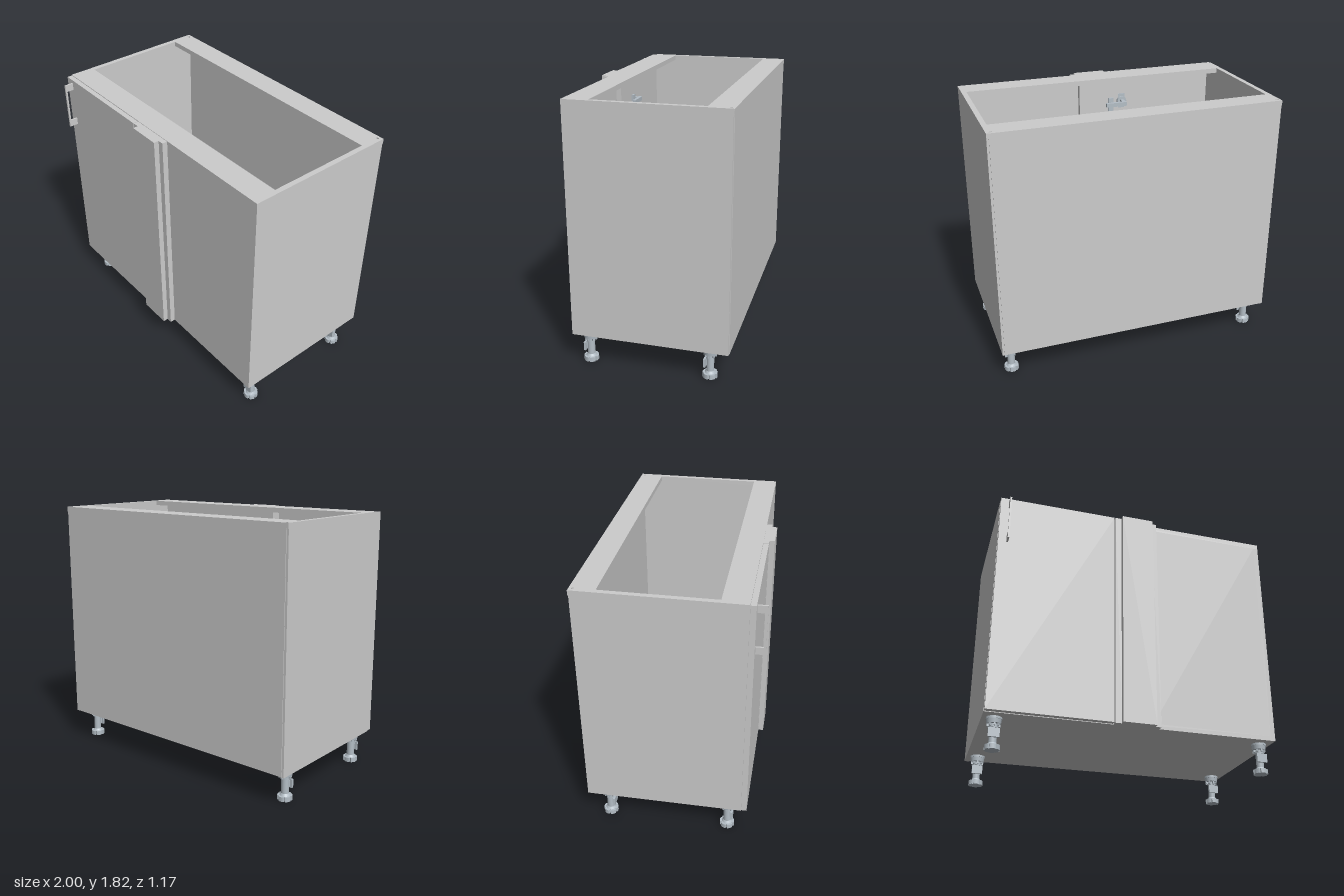
import * as THREE from 'three';

const grey = new THREE.MeshStandardMaterial({ color: 0xcccccc });
const legGrey = new THREE.MeshStandardMaterial({ color: 0xb4bec6 });

// Box given by its limits on each axis
function box(parent, name, [x0, x1], [y0, y1], [z0, z1], mat = grey) {
  const m = new THREE.Mesh(new THREE.BoxGeometry(x1 - x0, y1 - y0, z1 - z0), mat);
  m.position.set((x0 + x1) / 2, (y0 + y1) / 2, (z0 + z1) / 2);
  m.name = name;
  parent.add(m);
  return m;
}

function cylinder(parent, name, rTop, rBottom, y0, y1, sides = 24, mat = legGrey) {
  const m = new THREE.Mesh(new THREE.CylinderGeometry(rTop, rBottom, y1 - y0, sides), mat);
  m.position.y = (y0 + y1) / 2;
  m.name = name;
  parent.add(m);
  return m;
}

// Extrudes a plan drawn in x and z upwards from y0 to y1
function plate(parent, name, shape, y0, y1, mat = grey) {
  const g = new THREE.ExtrudeGeometry(shape, { depth: y1 - y0, bevelEnabled: false, curveSegments: 10 });
  g.rotateX(-Math.PI / 2);
  const m = new THREE.Mesh(g, mat);
  m.position.y = y0;
  m.name = name;
  parent.add(m);
  return m;
}

const polygon = (pts) => new THREE.Shape(pts.map(([x, z]) => new THREE.Vector2(x, -z)));

// Adjustable foot with slotted base, threaded column and plinth clip
function makeLeg(name) {
  const leg = new THREE.Group();
  leg.name = name;
  const slotted = [];
  for (let i = 0; i < 48; i++) {
    const r = i % 8 === 0 ? 0.038 : 0.05;
    const a = (i / 48) * Math.PI * 2;
    slotted.push([Math.cos(a) * r, Math.sin(a) * r]);
  }
  plate(leg, 'footBase', polygon(slotted), 0, 0.032, legGrey);
  cylinder(leg, 'footNeck', 0.024, 0.036, 0.032, 0.05);
  cylinder(leg, 'column', 0.026, 0.026, 0.04, 0.18);
  cylinder(leg, 'collar', 0.031, 0.031, 0.145, 0.165);
  cylinder(leg, 'mountingSocket', 0.05, 0.046, 0.172, 0.205);
  cylinder(leg, 'mountingFlange', 0.052, 0.052, 0.2, 0.216);
  for (let i = 0; i < 4; i++) {
    const rib = box(leg, 'rib', [-0.005, 0.005], [0.155, 0.2], [-0.044, 0.044], legGrey);
    rib.rotation.y = (i * Math.PI) / 4;
  }
  box(leg, 'clipPlate', [-0.037, 0.037], [0.078, 0.138], [0.026, 0.04], legGrey);
  box(leg, 'clipBody', [-0.02, 0.02], [0.085, 0.13], [0, 0.03], legGrey);
  return leg;
}

// Concealed hinge joining the door to the stile
function makeHinge(y) {
  const hinge = new THREE.Group();
  hinge.name = 'hinge';
  box(hinge, 'cupPlate', [-0.265, -0.215], [-0.055, 0.055], [0.482, 0.49], legGrey);
  const cup = cylinder(hinge, 'cup', 0.036, 0.036, -0.012, 0.012);
  cup.rotation.x = Math.PI / 2;
  cup.position.set(-0.24, 0, 0.478);
  box(hinge, 'arm', [-0.25, -0.09], [-0.015, 0.015], [0.385, 0.41], legGrey);
  box(hinge, 'link', [-0.25, -0.225], [-0.013, 0.013], [0.39, 0.475], legGrey);
  box(hinge, 'mountingPlate', [-0.15, -0.11], [-0.05, 0.05], [0.405, 0.42], legGrey);
  hinge.position.y = y;
  return hinge;
}

export function createModel() {
  const model = new THREE.Group();
  model.name = 'cornerBaseCabinet';
  const bottom = 0.215, top = 1.815, t = 0.035, front = 0.49, back = -0.585;

  // Carcass
  for (const s of [-1, 1]) {
    const xs = s < 0 ? [-1, -1 + t] : [1 - t, 1];
    box(model, 'sidePanel', xs, [bottom, top - t], [back + 0.005, front]);
  }
  box(model, 'bottomPanel', [-1 + t, 1 - t], [bottom, bottom + t], [-0.555, front]);
  box(model, 'backPanel', [-0.985, 0.985], [bottom + 0.005, top - 0.005], [back, -0.568]);

  // Top frame with large opening and two small slots
  const frame = polygon([[-1, front], [1, front], [1, back], [-1, back]]);
  frame.holes.push(new THREE.Path(polygon([[-0.965, 0.32], [-0.965, -0.42], [0.965, -0.42], [0.965, 0.32]]).getPoints()));
  for (const s of [-1, 1]) {
    const slot = new THREE.Path();
    slot.absellipse(s * 0.97, 0.56, 0.012, 0.007, 0, Math.PI * 2, true);
    frame.holes.push(slot);
  }
  plate(model, 'topFrame', frame, top - t, top);

  // Fixed front with the stile carrying the hinges
  box(model, 'fixedFrontPanel', [0.115, 1 - t], [bottom + t, top - t], [front - t, front]);
  box(model, 'stile', [-0.16, 0.115], [bottom + t, top - t], [front - 2 * t, front]);

  // Stepped corner filler
  plate(model, 'cornerFiller', polygon([
    [-0.16, front], [-0.16, 0.527], [-0.115, 0.527], [-0.115, 0.563],
    [0.115, 0.563], [0.115, 0.527], [0.155, 0.527], [0.155, front],
  ]), bottom, top - 0.003);

  // Door with bar handle
  box(model, 'door', [-0.998, -0.166], [0.219, 1.811], [front + 0.001, 0.527]);
  const handle = new THREE.Group();
  handle.name = 'handle';
  const hx = [-0.942, -0.93];
  box(handle, 'handleBar', hx, [1.45, 1.785], [0.577, 0.59]);
  box(handle, 'handleLowerPost', hx, [1.45, 1.5], [0.525, 0.578]);
  box(handle, 'handleUpperPost', hx, [1.735, 1.785], [0.525, 0.578]);
  model.add(handle);

  for (const y of [0.45, 1.585]) model.add(makeHinge(y));

  // Four adjustable feet
  for (const x of [-0.92, 0.92]) {
    for (const z of [0.39, -0.445]) {
      const leg = makeLeg('leg');
      leg.position.set(x, 0, z);
      model.add(leg);
    }
  }
  return model;
}
